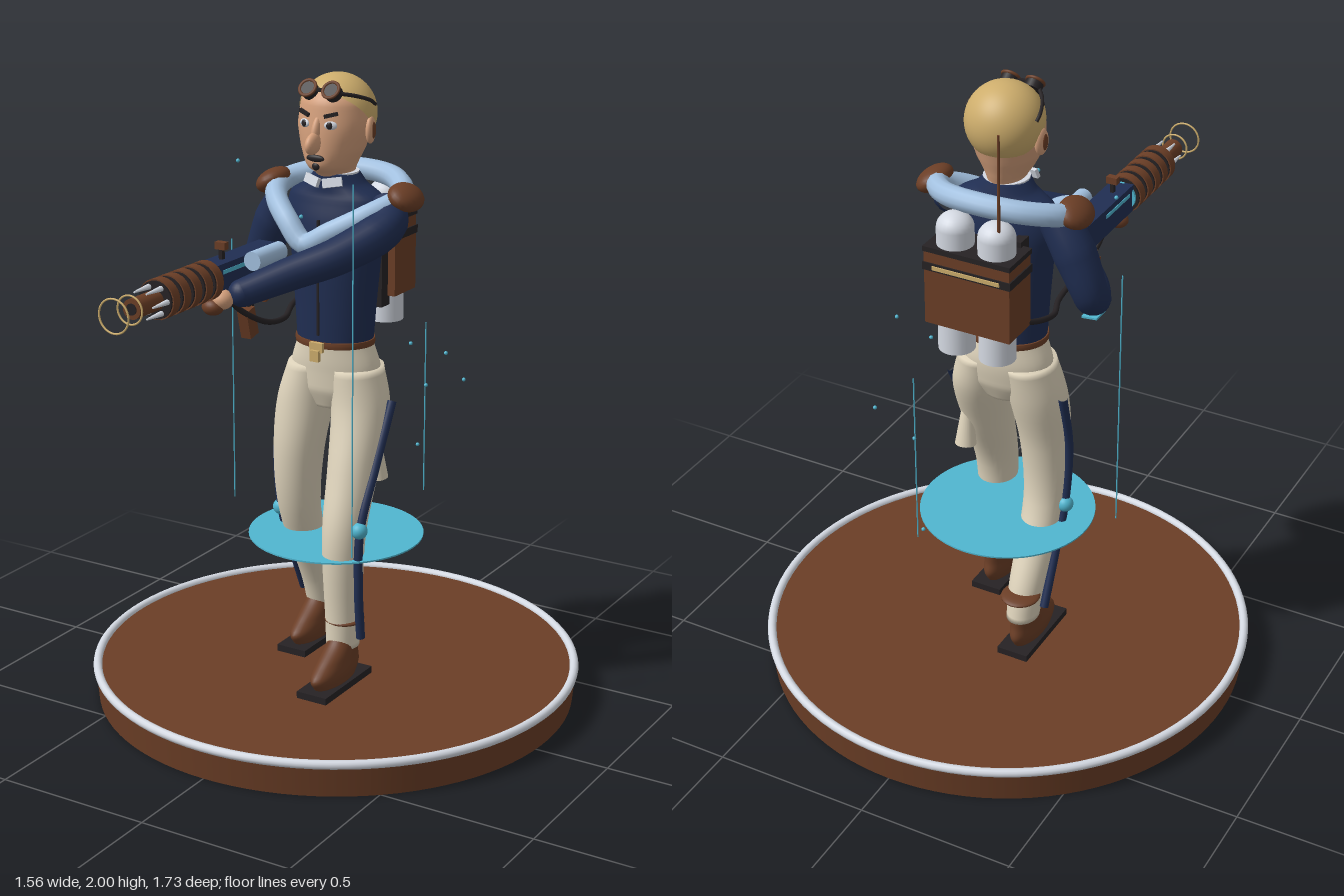
import * as THREE from 'three';
import { mergeVertices } from 'three/addons/utils/BufferGeometryUtils.js';

const V = (a) => new THREE.Vector3(a[0], a[1], a[2]);
const paint = (name, color) => {
  const m = new THREE.MeshStandardMaterial({ color });
  m.name = name;
  return m;
};

// Rebuild smooth normals after the vertices have been moved
function smooth(g) {
  g.deleteAttribute('uv');
  g.deleteAttribute('normal');
  const out = mergeVertices(g, 1e-5);
  out.computeVertexNormals();
  return out;
}

// Upright body form from oval sections, bottom to top: [x, y, z, rx, rz]
function loft(sections) {
  const centre = new THREE.CatmullRomCurve3(sections.map(V));
  const radius = new THREE.CatmullRomCurve3(sections.map((s) => new THREE.Vector3(s[3], 0, s[4])));
  const g = new THREE.CylinderGeometry(1, 1, 1, 32, sections.length * 5);
  const p = g.attributes.position;
  for (let i = 0; i < p.count; i++) {
    const t = THREE.MathUtils.clamp(p.getY(i) + 0.5, 0, 1);
    const c = centre.getPoint(t), r = radius.getPoint(t);
    p.setXYZ(i, c.x + p.getX(i) * r.x, c.y, c.z + p.getZ(i) * r.z);
  }
  return smooth(g);
}

// Limb along a path with a radius at each point: [x, y, z, r]
function limb(points) {
  const curve = new THREE.CatmullRomCurve3(points.map(V));
  const n = 32, sides = 16;
  const g = new THREE.TubeGeometry(curve, n, 1, sides);
  const p = g.attributes.position, v = new THREE.Vector3();
  for (let i = 0; i <= n; i++) {
    const c = curve.getPointAt(i / n), k = (i / n) * (points.length - 1);
    const a = Math.min(Math.floor(k), points.length - 2);
    const r = THREE.MathUtils.lerp(points[a][3], points[a + 1][3], k - a);
    for (let j = 0; j <= sides; j++) {
      const q = i * (sides + 1) + j;
      v.fromBufferAttribute(p, q).sub(c).multiplyScalar(r).add(c);
      p.setXYZ(q, v.x, v.y, v.z);
    }
  }
  return smooth(g);
}

const tube = (pts, r, closed = false) =>
  new THREE.TubeGeometry(new THREE.CatmullRomCurve3(pts.map(V), closed), 60, r, 12, closed);
const box = (x, y, z) => new THREE.BoxGeometry(x, y, z);
const cyl = (r, h, r2 = r, n = 24) => new THREE.CylinderGeometry(r, r2, h, n);
const ball = (x, y = x, z = x) => new THREE.SphereGeometry(1, 24, 16).scale(x, y, z);
const ring = (r, t) => new THREE.TorusGeometry(r, t, 10, 40);

export function createModel() {
  const model = new THREE.Group();
  model.name = 'figureOnStand';
  const brown = paint('leatherBrown', 0x6b3e26), cream = paint('cream', 0xded3bb);
  const navy = paint('navy', 0x202e52), skin = paint('skin', 0xd5a07c);
  const hair = paint('blond', 0xcdad6c), cyan = paint('cyan', 0x50b6d0);
  const pale = paint('paleBlue', 0xa3c1e0), white = paint('silver', 0xd4d9e2);
  const dark = paint('nearBlack', 0x262224);

  const add = (name, geo, mat, pos = [0, 0, 0], rot = [0, 0, 0], parent = model) => {
    const m = new THREE.Mesh(geo, mat);
    m.name = name;
    m.position.set(...pos);
    m.rotation.set(...rot);
    parent.add(m);
    return m;
  };
  const H = Math.PI / 2, CZ = -0.077;

  // Stand and the floating energy disc
  add('standBase', cyl(0.775, 0.105, 0.765, 96), brown, [0, 0.0525, CZ]);
  add('standRim', new THREE.TorusGeometry(0.768, 0.014, 12, 96), white, [0, 0.105, CZ], [H, 0, 0]);
  add('energyDisc', cyl(0.278, 0.005, 0.278, 64), cyan, [0, 0.535, CZ]);
  [[0.228, 0.21, 1.74], [-0.365, -0.047, 1.45], [0.127, -0.42, 1.16]].forEach(([x, z, top]) =>
    add('energyLine', cyl(0.0022, top - 0.59, 0.0022, 6), cyan, [x, (top + 0.59) / 2, z]));
  [[0.05, 0.705, -0.515], [0.28, 1, -0.395], [0.35, 1.165, -0.14], [-0.34, 1.7, -0.05],
    [0.13, 0.95, -0.42], [0.2, 1.16, -0.19], [0.02, 1.61, 0.16]].forEach((p) =>
    add('spark', ball(0.006), cyan, p));

  // Legs: the left steps forward, the right trails
  const thigh = (s) => [[s * 0.098, 0.98, -0.06, 0.088, 0.1], [s * 0.075, 1.1, -0.075, 0.078, 0.1]];
  add('leftLeg', loft([[0.117, 0.23, 0.075, 0.05, 0.058], [0.117, 0.33, 0.072, 0.056, 0.062],
    [0.118, 0.6, 0.072, 0.066, 0.074], [0.112, 0.8, 0.005, 0.078, 0.09], ...thigh(1)]), cream);
  add('rightLeg', loft([[-0.118, 0.23, -0.195, 0.05, 0.062], [-0.118, 0.33, -0.168, 0.056, 0.066],
    [-0.118, 0.6, -0.05, 0.066, 0.07], [-0.112, 0.8, -0.035, 0.078, 0.085], ...thigh(-1)]), cream);
  add('hips', loft([[0, 0.97, -0.07, 0.08, 0.07], [0, 1.03, -0.072, 0.15, 0.095],
    [0, 1.1, -0.075, 0.148, 0.102], [0, 1.18, -0.07, 0.12, 0.1]]), cream);
  add('leftStripe', tube([[0.195, 1, -0.085], [0.192, 0.82, 0.005], [0.186, 0.63, 0.09],
    [0.187, 0.45, 0.1], [0.187, 0.27, 0.085]], 0.014), navy);
  add('rightStripe', tube([[-0.195, 1, -0.085], [-0.195, 0.8, -0.04], [-0.188, 0.59, -0.05],
    [-0.185, 0.45, -0.1], [-0.185, 0.27, -0.18]], 0.014), navy);
  add('leftKneeBead', ball(0.026), cyan, [0.186, 0.63, 0.095]);
  add('rightKneeBead', ball(0.026), cyan, [-0.19, 0.59, -0.05]);
  add('thighPouch', cyl(0.015, 0.15, 0.034), cream, [0.14, 0.815, -0.085], [0.12, 0, 0]);

  // Boots with ankle straps
  [[0.12, 0.075, 0.07], [-0.12, -0.19, -0.215]].forEach(([x, z, strap]) => {
    add('boot', loft([[x, 0.13, z + 0.055, 0.04, 0.105], [x, 0.165, z + 0.055, 0.047, 0.125],
      [x, 0.205, z + 0.035, 0.045, 0.098], [x, 0.25, z + 0.005, 0.042, 0.064],
      [x, 0.28, z, 0.038, 0.045]]), brown);
    add('sole', box(0.105, 0.022, 0.28), dark, [x, 0.121, z + 0.055]);
    add('ankleStrap', ball(0.062, 0.014, 0.065), brown, [x, 0.317, strap]);
  });

  // Jacket, belt and collar
  add('jacket', loft([[0, 1.17, -0.07, 0.123, 0.1], [0, 1.3, -0.072, 0.133, 0.103],
    [0, 1.45, -0.075, 0.148, 0.106], [0, 1.56, -0.08, 0.172, 0.1], [0, 1.63, -0.082, 0.16, 0.086],
    [0, 1.67, -0.08, 0.095, 0.078], [0, 1.705, -0.075, 0.066, 0.074]]), navy);
  add('jacketSeam', box(0.007, 0.36, 0.008), dark, [0, 1.39, 0.031]);
  add('belt', loft([[0, 1.17, -0.07, 0.128, 0.106], [0, 1.18, -0.07, 0.129, 0.107],
    [0, 1.19, -0.07, 0.128, 0.106]]), brown);
  add('buckle', box(0.045, 0.03, 0.014), hair, [0, 1.175, 0.04]);
  add('buckleTab', box(0.03, 0.035, 0.014), hair, [0, 1.15, 0.05]);
  add('collarBand', cyl(0.07, 0.022), white, [0, 1.695, -0.075]);
  [-1, 1].forEach((s) =>
    add('collarFlap', box(0.06, 0.028, 0.012), white, [s * 0.035, 1.685, 0.008], [-0.3, s * 0.3, s * 0.25]));

  // Padded scarf draped over the shoulders, meeting in a V on the chest
  add('scarf', tube([[0, 1.68, -0.235], [0.13, 1.67, -0.205], [0.21, 1.64, -0.1], [0.15, 1.595, 0],
    [0.05, 1.54, 0.05], [-0.03, 1.5, 0.06], [-0.1, 1.56, 0.045], [-0.185, 1.62, -0.025],
    [-0.21, 1.645, -0.12], [-0.13, 1.67, -0.205]], 0.034, true), pale);
  [-1, 1].forEach((s) =>
    add('shoulderPad', ball(0.054, 0.036, 0.07), brown, [s * 0.233, 1.645, -0.09], [0, 0, -s * 0.55]));

  // Arms and hands on the gun
  add('rightArm', limb([[-0.17, 1.62, -0.09, 0.06], [-0.235, 1.52, -0.1, 0.066],
    [-0.29, 1.38, -0.09, 0.055], [-0.24, 1.365, 0.01, 0.05], [-0.18, 1.375, 0.09, 0.04]]), navy);
  add('rightElbow', ball(0.05), navy, [-0.293, 1.375, -0.085]);
  add('elbowTrim', box(0.05, 0.006, 0.06), cyan, [-0.29, 1.32, -0.08], [0, 0, -0.1]);
  add('rightHand', ball(0.036, 0.034, 0.045), skin, [-0.16, 1.385, 0.125]);
  add('leftArm', limb([[0.17, 1.61, -0.09, 0.055], [0.205, 1.57, -0.03, 0.062],
    [0.13, 1.5, 0.11, 0.056], [0.02, 1.45, 0.23, 0.05], [-0.075, 1.405, 0.34, 0.042]]), navy);
  add('leftCuff', ball(0.042), navy, [-0.075, 1.405, 0.335]);
  add('leftHand', ball(0.034, 0.03, 0.035), skin, [-0.115, 1.39, 0.38]);
  add('leftGlove', ball(0.034, 0.026, 0.03), brown, [-0.135, 1.37, 0.4]);

  // Ray gun, pointing forward along z
  const gun = new THREE.Group();
  gun.name = 'rayGun';
  gun.position.set(-0.145, 1.453, 0);
  model.add(gun);
  const part = (name, geo, mat, pos, rot) => add(name, geo, mat, pos, rot, gun);
  part('receiver', box(0.072, 0.09, 0.33), navy, [0, 0, 0.245]);
  part('sidePlate', box(0.076, 0.012, 0.16), cyan, [0, 0.02, 0.3]);
  part('sideTank', cyl(0.029, 0.15), pale, [0.07, 0.035, 0.205], [H, 0, 0]);
  part('barrelCore', cyl(0.046, 0.27), cyan, [0, 0, 0.535], [H, 0, 0]);
  for (let i = 0; i < 5; i++) {
    part('coolingRing', cyl(0.06, 0.032), brown, [0, 0, 0.43 + i * 0.055], [H, 0, 0]);
    part('ringEdge', cyl(0.056, 0.044), dark, [0, 0, 0.43 + i * 0.055], [H, 0, 0]);
  }
  for (let i = 0; i < 6; i++) {
    const a = (i * Math.PI) / 3;
    const prong = part('prong', cyl(0.003, 0.085, 0.01, 8), white,
      [Math.cos(a) * 0.042, Math.sin(a) * 0.042, 0.7], [H, 0, 0]);
    prong.name = 'muzzleProng';
  }
  part('muzzle', cyl(0.03, 0.12), brown, [0, 0, 0.725], [H, 0, 0]);
  part('muzzleBore', cyl(0.017, 0.006), dark, [0, 0, 0.785], [H, 0, 0]);
  part('focusRing', ring(0.042, 0.003), hair, [0, 0, 0.793]);
  part('outerFocusRing', ring(0.05, 0.003), hair, [0, 0, 0.868]);
  part('sightPost', box(0.012, 0.06, 0.014), dark, [0, 0.06, 0.335]);
  part('sight', box(0.035, 0.022, 0.022), brown, [0, 0.086, 0.335]);
  part('frontGrip', box(0.035, 0.09, 0.045), brown, [0.01, -0.175, 0.215], [0.25, 0, 0]);
  part('gripStem', box(0.02, 0.12, 0.025), dark, [0.005, -0.09, 0.205], [0.1, 0, 0]);
  part('rearGrip', box(0.035, 0.1, 0.04), brown, [0, -0.08, 0.12], [0.25, 0, 0]);
  add('hose', tube([[-0.13, 1.41, 0.36], [-0.125, 1.33, 0.27], [-0.105, 1.27, 0.16],
    [-0.11, 1.255, 0.05], [-0.15, 1.27, -0.07], [-0.13, 1.31, -0.2], [-0.1, 1.34, -0.24]], 0.009), dark);

  // Backpack with two tanks and an aerial
  add('pack', box(0.28, 0.25, 0.13), brown, [0, 1.425, -0.257]);
  add('packLid', box(0.286, 0.016, 0.136), dark, [0, 1.545, -0.257]);
  add('packStrap', box(0.288, 0.025, 0.138), dark, [0, 1.49, -0.257]);
  add('packTrim', box(0.22, 0.012, 0.008), hair, [0, 1.49, -0.326]);
  [-1, 1].forEach((s) => {
    add('tank', cyl(0.056, 0.4), white, [s * 0.068, 1.405, -0.262]);
    add('tankDome', ball(0.056, 0.048, 0.056), white, [s * 0.068, 1.605, -0.262]);
    add('packBracket', box(0.03, 0.3, 0.05), dark, [s * 0.1, 1.42, -0.18]);
  });
  add('aerial', cyl(0.004, 0.42, 0.005, 8), brown, [-0.09, 1.73, -0.29]);

  // Head
  add('head', loft([[0, 1.67, -0.08, 0.052, 0.058], [0, 1.705, -0.07, 0.055, 0.075],
    [0, 1.73, -0.055, 0.068, 0.098], [0, 1.78, -0.06, 0.094, 0.108], [0, 1.86, -0.073, 0.113, 0.115],
    [0, 1.92, -0.08, 0.108, 0.112], [0, 1.97, -0.083, 0.07, 0.075], [0, 1.99, -0.083, 0.015, 0.015]]), skin);
  add('hair', new THREE.SphereGeometry(0.119, 40, 24, 0, Math.PI * 2, 0, 1.72), hair,
    [0, 1.881, -0.083], [-0.8, 0, 0]).material.side = THREE.DoubleSide;
  add('nose', ball(0.019, 0.032, 0.04), skin, [0, 1.808, 0.058], [0.35, 0, 0]);
  add('noseBridge', ball(0.014, 0.045, 0.02), skin, [0, 1.845, 0.04], [-0.35, 0, 0]);
  add('mouth', ball(0.031, 0.011, 0.008), dark, [0, 1.762, 0.047]);
  add('chinTuft', ball(0.013, 0.012, 0.008), dark, [0, 1.737, 0.044]);
  [-1, 1].forEach((s) => {
    add('eye', ball(0.02, 0.013, 0.007), white, [s * 0.045, 1.862, 0.034], [0, s * 0.35, 0]);
    add('pupil', ball(0.01, 0.011, 0.005), dark, [s * 0.044, 1.862, 0.039], [0, s * 0.35, 0]);
    add('eyebrow', box(0.042, 0.011, 0.009), dark, [s * 0.046, 1.893, 0.034], [0, s * 0.35, s * 0.25]);
    add('ear', ball(0.014, 0.042, 0.027), skin, [s * 0.115, 1.838, -0.08], [0, s * 0.2, 0]);
    add('earInner', ball(0.007, 0.026, 0.014), brown, [s * 0.125, 1.838, -0.078]);
    add('goggle', cyl(0.027, 0.028), dark, [s * 0.04, 1.958, 0.014], [0.9, 0, 0]);
    add('goggleRim', ring(0.026, 0.005), brown, [s * 0.04, 1.966, 0.025], [-0.67, 0, 0]);
    add('goggleStrap', tube([[s * 0.06, 1.955, 0.01], [s * 0.09, 1.945, -0.03],
      [s * 0.112, 1.925, -0.085], [s * 0.113, 1.91, -0.11]], 0.006), dark);
  });
  add('goggleBridge', box(0.03, 0.01, 0.012), dark, [0, 1.962, 0.02]);
  return model;
}
